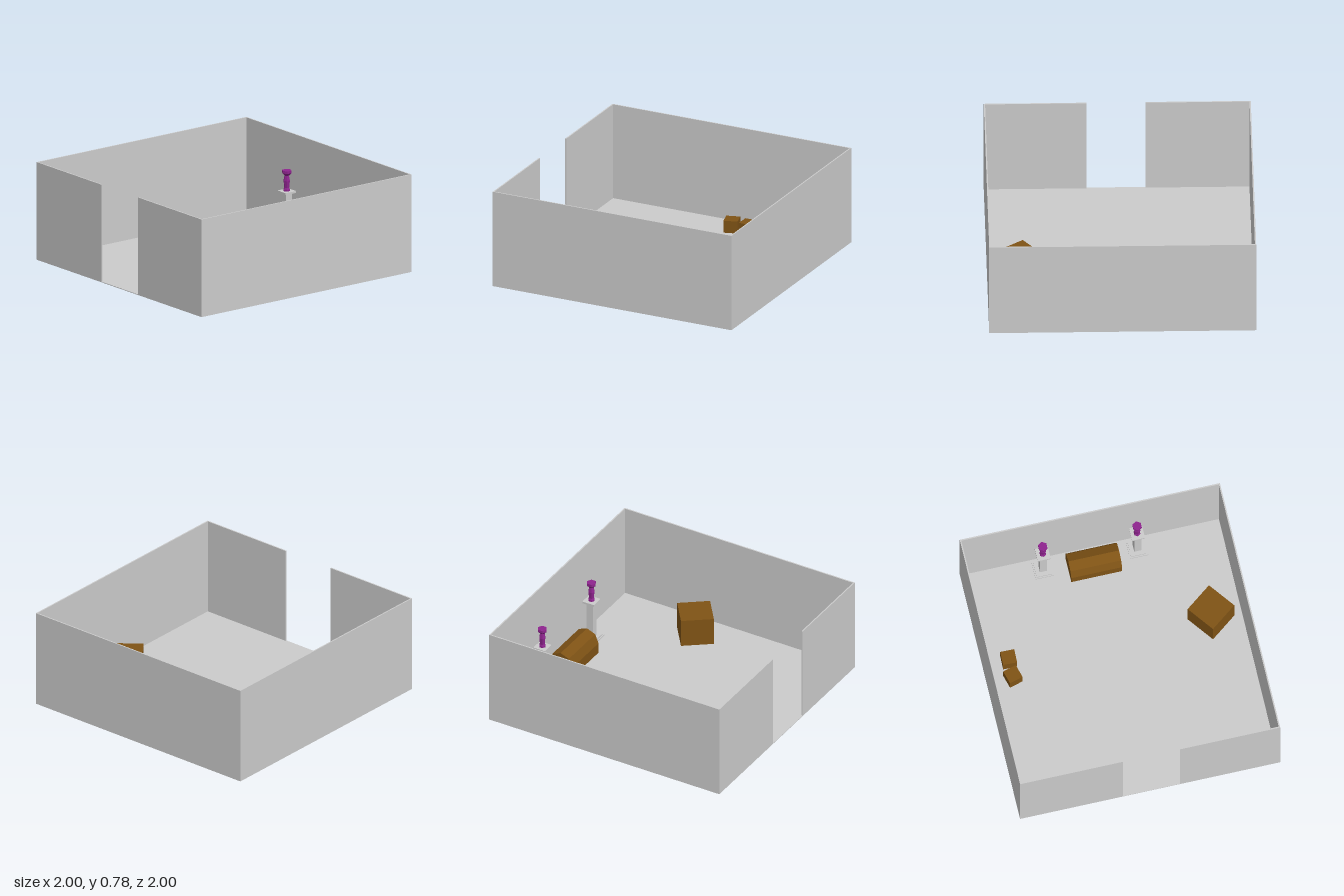
import * as THREE from 'three';

const material = (color) => new THREE.MeshStandardMaterial({ color, flatShading: true });
const stone = material(0xcccccc);
const wood = material(0x7f5315);
const purple = material(0x8e248e);

function addMesh(parent, name, geometry, mat, x = 0, y = 0, z = 0) {
  const mesh = new THREE.Mesh(geometry, mat);
  mesh.name = name;
  mesh.position.set(x, y, z);
  parent.add(mesh);
  return mesh;
}

// Box given by its centre in plan and its bottom and top heights
function addBlock(parent, name, mat, x, z, width, depth, bottom, top) {
  const geometry = new THREE.BoxGeometry(width, top - bottom, depth);
  return addMesh(parent, name, geometry, mat, x, (bottom + top) / 2, z);
}

// Box without its underside
function addOpenBlock(parent, name, mat, x, z, width, depth, bottom, top) {
  const mesh = addBlock(parent, name, mat, x, z, width, depth, bottom, top);
  const index = Array.from(mesh.geometry.index.array);
  index.splice(18, 6);
  mesh.geometry.setIndex(index);
  return mesh;
}

// Floor and four walls, the front one split by a doorway
function createRoom() {
  const room = new THREE.Group();
  room.name = 'room';
  const low = 0.02, high = 0.78, t = 0.01;
  addBlock(room, 'floor', stone, 0, 0, 2, 2, low, low + 0.005);
  addBlock(room, 'backWall', stone, 0, -1 + t / 2, 2, t, low, high);
  for (const [side, s] of [['left', 1], ['right', -1]]) {
    addBlock(room, side + 'Wall', stone, s * (1 - t / 2), 0, t, 2 - 2 * t, low, high);
  }
  for (const [side, x0, x1] of [['right', -1, -0.21], ['left', 0.23, 1]]) {
    addBlock(room, side + 'FrontWall', stone, (x0 + x1) / 2, 1 - t / 2, x1 - x0, t, low, high);
  }
  return room;
}

// Stepped pedestal with a six-sided vase on it
function createPedestal(x, z) {
  const pedestal = new THREE.Group();
  pedestal.name = 'pedestal';
  pedestal.position.set(x, 0, z);
  addOpenBlock(pedestal, 'base', stone, 0, 0, 0.14, 0.14, 0.01, 0.035);
  addBlock(pedestal, 'baseStep', stone, 0, 0, 0.12, 0.12, 0.035, 0.045);
  addBlock(pedestal, 'column', stone, 0, 0, 0.055, 0.055, 0.045, 0.345);
  addBlock(pedestal, 'capital', stone, 0, 0, 0.1, 0.1, 0.345, 0.36);
  const profile = [
    [0, 0], [0.026, 0], [0.026, 0.012], [0.02, 0.025], [0.026, 0.08],
    [0.018, 0.12], [0.037, 0.14], [0.037, 0.16], [0, 0.16],
  ].map(([r, y]) => new THREE.Vector2(r, y));
  addMesh(pedestal, 'vase', new THREE.LatheGeometry(profile, 6), purple, 0, 0.36, 0);
  return pedestal;
}

// Chest with a faceted barrel lid, extruded along x
function createChest() {
  const radius = 0.1, length = 0.39;
  const shape = new THREE.Shape();
  shape.moveTo(-radius, 0.012);
  shape.lineTo(radius, 0.012);
  for (let i = 0; i <= 4; i++) {
    const a = (i * Math.PI) / 4;
    shape.lineTo(radius * Math.cos(a), 0.11 + radius * Math.sin(a));
  }
  const geometry = new THREE.ExtrudeGeometry(shape, { depth: length, bevelEnabled: false });
  geometry.translate(0, 0, -length / 2);
  geometry.rotateY(Math.PI / 2);
  const chest = new THREE.Mesh(geometry, wood);
  chest.name = 'chest';
  chest.position.set(-0.005, 0, -0.85);
  return chest;
}

export function createModel() {
  const model = new THREE.Group();
  model.name = 'furnishedRoom';
  model.add(createRoom(), createChest());
  model.add(createPedestal(-0.385, -0.9), createPedestal(0.34, -0.9));

  // Crates: x, z, size, bottom, turn
  const crates = [
    ['smallCrateBack', -0.8, -0.24, 0.107, 0.014, -0.02],
    ['smallCrateFront', -0.8, -0.1, 0.107, 0.014, 0.27],
    ['largeCrate', 0.755, -0.24, 0.248, 0, 0.645],
  ];
  for (const [name, x, z, size, bottom, turn] of crates) {
    addOpenBlock(model, name, wood, x, z, size, size, bottom, bottom + size).rotation.y = turn;
  }
  return model;
}
